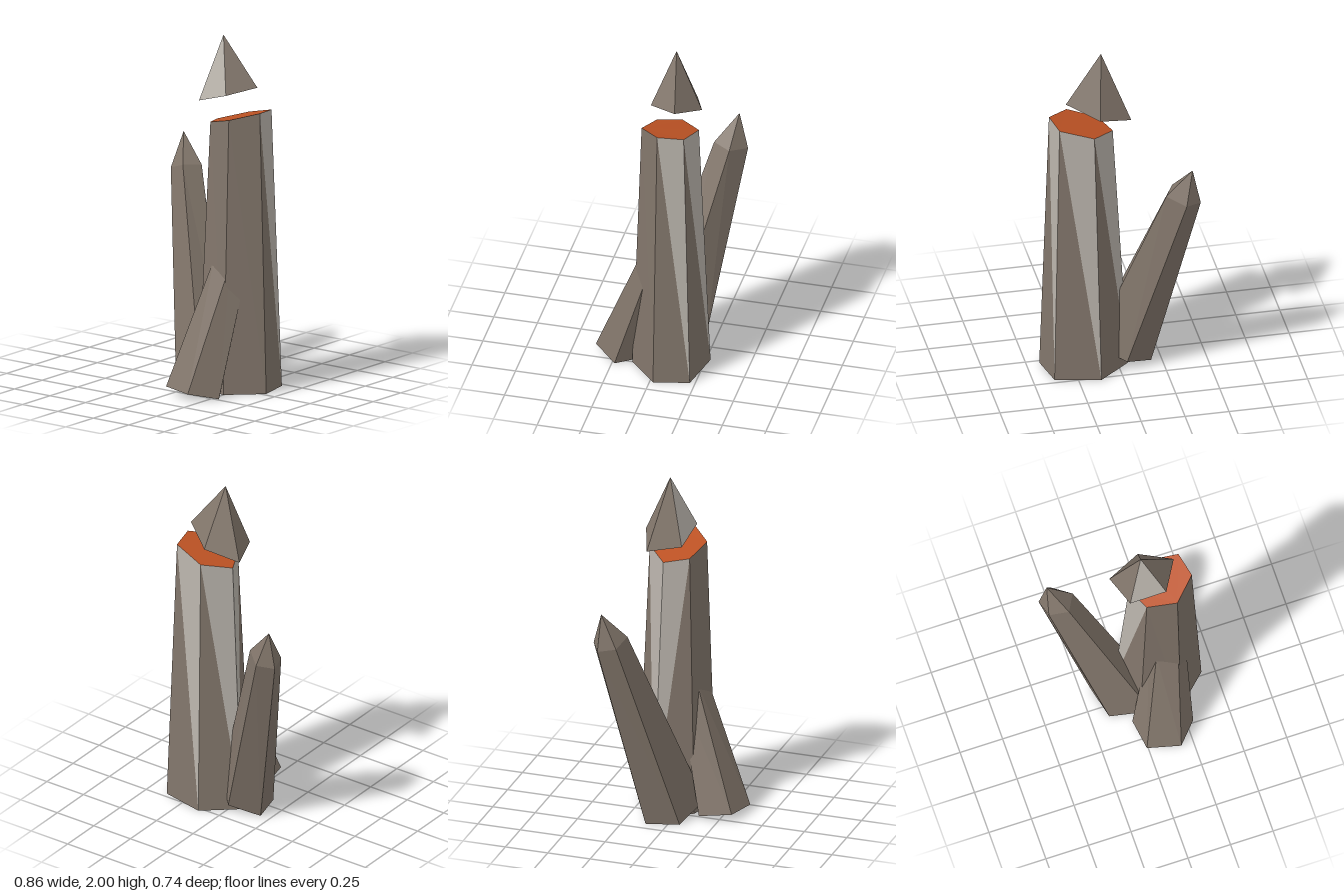
import * as THREE from 'three';

const stone = new THREE.MeshStandardMaterial({ color: 0x82766b });
stone.name = 'brown stone';
const pale = new THREE.MeshStandardMaterial({ color: 0xbab4ac });
pale.name = 'pale stone';
const orange = new THREE.MeshStandardMaterial({ color: 0xbc5224 });
orange.name = 'orange core';

// flat-faced mesh from a list of triangles
function facets(name, material, tris) {
  const geo = new THREE.BufferGeometry();
  geo.setAttribute('position', new THREE.Float32BufferAttribute(tris.flat(2), 3));
  geo.computeVertexNormals();
  const mesh = new THREE.Mesh(geo, material);
  mesh.name = name;
  return mesh;
}

// rings run counter-clockwise seen from above
const pairs = (ring) => ring.map((p, i) => [i, (i + 1) % ring.length]);
// two triangles per side: [lower, upper]
const sides = (b, t) => pairs(b).map(([i, j]) => [[b[i], b[j], t[i]], [b[j], t[j], t[i]]]);
const cone = (ring, apex) => pairs(ring).map(([i, j]) => [ring[i], ring[j], apex]);
const capUp = (r) => r.slice(2).map((p, i) => [r[0], r[i + 1], p]);
const capDown = (r) => r.slice(2).map((p, i) => [r[0], p, r[i + 1]]);

function brokenColumn() {
  const group = new THREE.Group();
  group.name = 'brokenColumn';
  const b = [[0.25, 0, 0.143], [0.425, 0, -0.02], [0.38, 0, -0.22],
    [0.125, 0, -0.275], [-0.06, 0, -0.12], [0.03, 0, 0.09]];
  const t = [[0.247, 1.565, 0.09], [0.372, 1.6, -0.03], [0.342, 1.59, -0.175],
    [0.152, 1.54, -0.215], [0.022, 1.505, -0.09], [0.082, 1.522, 0.045]];
  const quads = sides(b, t);
  // the left side is split along the other diagonal
  quads[4] = [[b[4], b[5], t[5]], [b[4], t[5], t[4]]];
  const foot = capDown(b);
  const brown = [...foot.slice(1)], light = [foot[0]];
  quads.forEach(([lower, upper], i) => {
    brown.push(lower);
    (i >= 1 && i <= 4 ? light : brown).push(upper);
  });
  group.add(
    facets('columnSides', stone, brown),
    facets('columnPaleFacets', pale, light),
    facets('columnBreak', orange, capUp(t)));
  return group;
}

function floatingTip() {
  const group = new THREE.Group();
  group.name = 'floatingTip';
  const ring = [[-0.07, 1.6, -0.155], [-0.01, 1.628, 0.03], [0.195, 1.69, 0.05],
    [0.293, 1.72, -0.11], [0.12, 1.655, -0.225]];
  const faces = cone(ring, [0.085, 2, -0.07]);
  group.add(
    facets('tipSides', stone, faces.filter((f, i) => i !== 1)),
    facets('tipPaleFacet', pale, [faces[1]]),
    facets('tipBreak', orange, capDown(ring)));
  return group;
}

// pointed crystal leaning back to the side
function leaningCrystal() {
  const b = [[-0.19, 0, -0.12], [-0.145, 0.002, 0.065], [0.08, 0.07, 0.135],
    [0.13, 0.1, -0.04], [-0.035, 0.06, -0.212]];
  const t = [[-0.43, 1.115, -0.32], [-0.403, 1.132, -0.22], [-0.295, 1.17, -0.19],
    [-0.24, 1.16, -0.29], [-0.34, 1.13, -0.373]];
  return facets('leaningCrystal', stone,
    [...sides(b, t).flat(), ...cone(t, [-0.385, 1.325, -0.313]), ...capDown(b)]);
}

// short shard propped against the front of the column
function frontShard() {
  const b = [[-0.035, 0.02, 0.14], [-0.012, 0.045, 0.325], [0.175, 0.037, 0.37],
    [0.29, 0, 0.235], [0.17, 0, 0.06]];
  const t = [[0.12, 0.7, -0.03], [0.13, 0.75, 0.072], [0.253, 0.74, 0.085],
    [0.315, 0.66, 0.03], [0.24, 0.65, -0.06]];
  return facets('frontShard', stone, [...sides(b, t).flat(), ...capUp(t), ...capDown(b)]);
}

export function createModel() {
  const model = new THREE.Group();
  model.name = 'crystalCluster';
  model.add(brokenColumn(), floatingTip(), leaningCrystal(), frontShard());
  return model;
}
